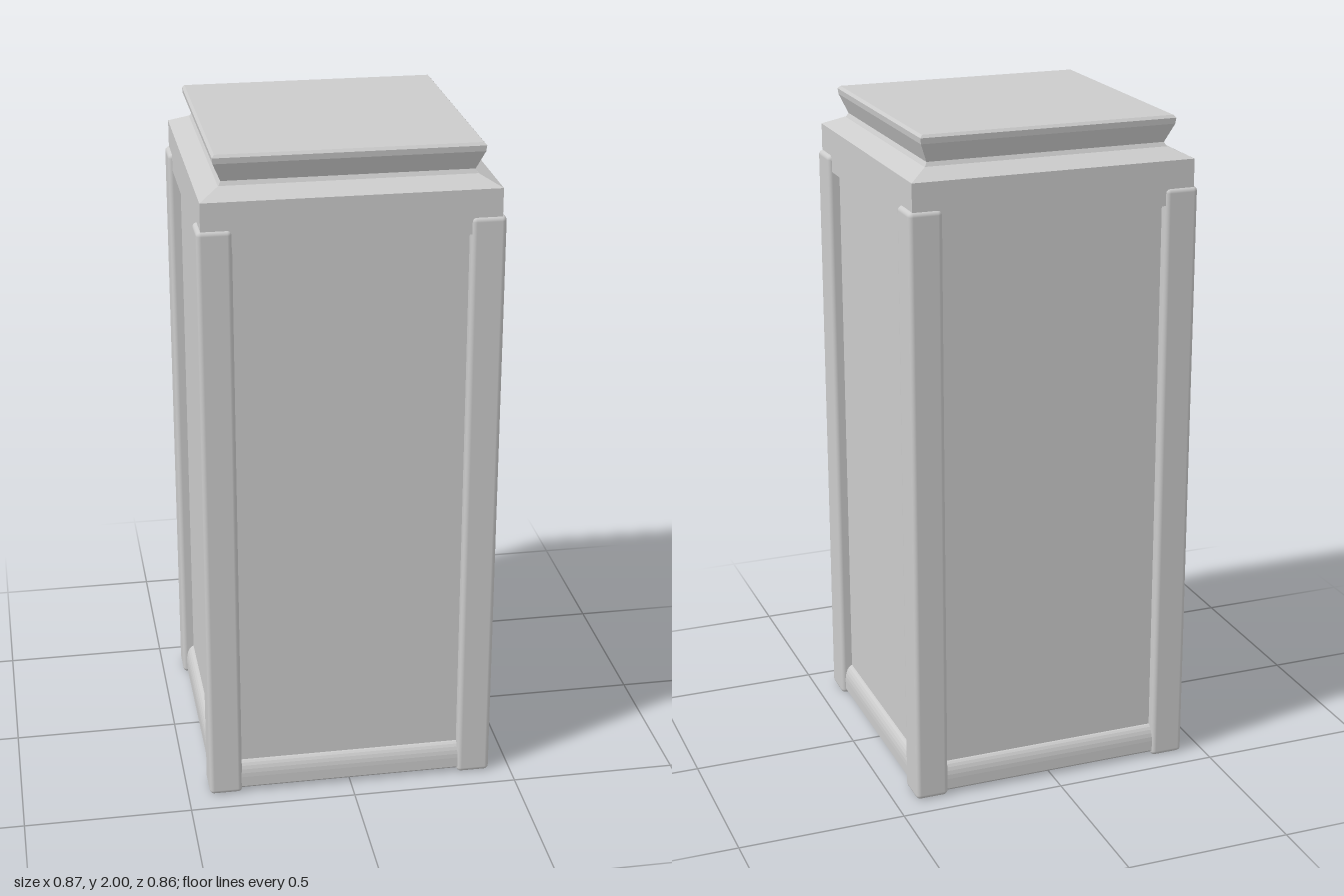
import * as THREE from 'three';
import { RoundedBoxGeometry } from 'three/addons/geometries/RoundedBoxGeometry.js';

const material = new THREE.MeshStandardMaterial({ color: 0xcccccc, flatShading: true });
const smooth = new THREE.MeshStandardMaterial({ color: 0xcccccc });

// Square solid swept from a profile of [half width, height], bottom to top
function squareLathe(name, profile) {
  const points = profile.map(([half, y]) => new THREE.Vector2(half * Math.SQRT2, y));
  const geometry = new THREE.LatheGeometry(points, 4).rotateY(Math.PI / 4).toNonIndexed();
  geometry.computeVertexNormals();
  const mesh = new THREE.Mesh(geometry, material);
  mesh.name = name;
  return mesh;
}

export function createModel() {
  const model = new THREE.Group();
  model.name = 'pedestal';

  // Base rail with a rounded upper edge
  const rail = [[0, 0.01], [0.415, 0.01], [0.423, 0.018], [0.423, 0.05]];
  for (let i = 1; i <= 6; i++) {
    const a = (i / 6) * Math.PI / 2;
    rail.push([0.398 + 0.025 * Math.cos(a), 0.05 + 0.05 * Math.sin(a)]);
  }
  rail.push([0, 0.1]);
  model.add(squareLathe('baseRail', rail));

  // Recessed side panels
  model.add(squareLathe('sidePanels', [[0.4, 0.06], [0.4, 1.78]]));

  // Top band, sloped shoulder, neck and flared top slab
  model.add(squareLathe('topBand', [
    [0, 1.75], [0.423, 1.75], [0.423, 1.88], [0.365, 1.908], [0, 1.908],
  ]));
  model.add(squareLathe('flaredTop', [
    [0.365, 1.905], [0.357, 1.92], [0.38, 1.975], [0.382, 1.992], [0.375, 2], [0, 2],
  ]));

  // Corner posts
  const postGeometry = new RoundedBoxGeometry(0.1, 1.8, 0.105, 3, 0.014);
  for (const x of [-1, 1]) {
    for (const z of [-1, 1]) {
      const post = new THREE.Mesh(postGeometry, smooth);
      post.name = 'cornerPost';
      post.position.set(x * 0.385, 0.9, z * 0.3775);
      model.add(post);
    }
  }
  return model;
}
